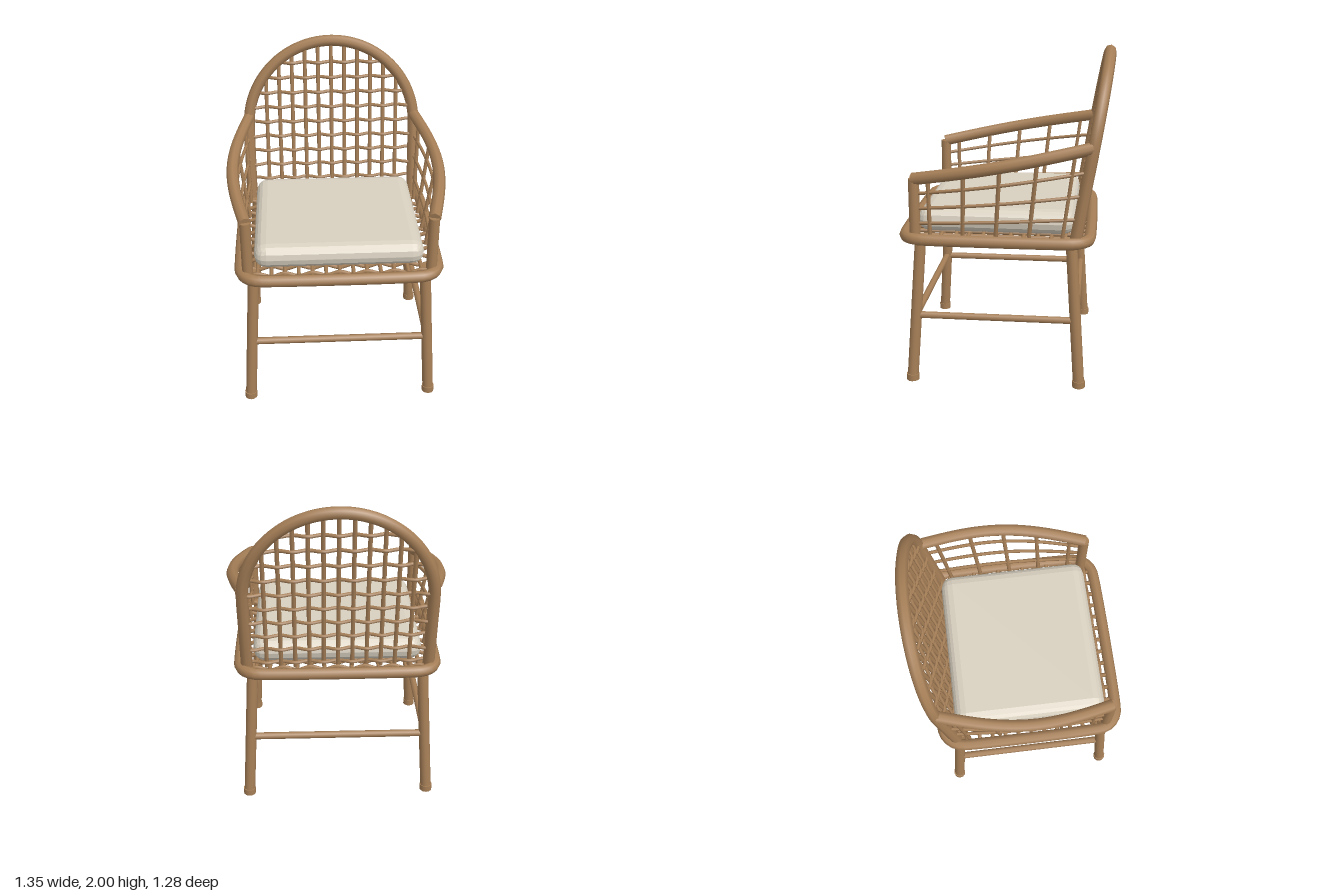
import * as THREE from 'three';
import { mergeGeometries } from 'three/addons/utils/BufferGeometryUtils.js';
import { RoundedBoxGeometry } from 'three/addons/geometries/RoundedBoxGeometry.js';

const V = (x, y, z) => new THREE.Vector3(x, y, z);
const lerp = THREE.MathUtils.lerp;
const range = (n) => Array.from({ length: n }, (_, i) => i);

// Round cane following points, with flat closed ends
function caneGeometry(points, radius, steps, sides = 8) {
  const curve = new THREE.CatmullRomCurve3(points);
  const ends = [0, 1].map((t) => {
    const cap = new THREE.CircleGeometry(radius, sides);
    const p = curve.getPointAt(t);
    const dir = curve.getTangentAt(t).multiplyScalar(t ? 1 : -1);
    cap.applyQuaternion(new THREE.Quaternion().setFromUnitVectors(V(0, 0, 1), dir));
    return cap.translate(p.x, p.y, p.z);
  });
  return mergeGeometries([new THREE.TubeGeometry(curve, steps, radius, sides), ...ends]);
}

export function createModel() {
  const chair = new THREE.Group();
  chair.name = 'wovenArmchair';
  const cane = new THREE.MeshStandardMaterial({ color: 0xa67f57 });
  cane.name = 'cane brown';
  const cloth = new THREE.MeshStandardMaterial({ color: 0xd8d0c0 });
  cloth.name = 'cushion cream';

  const add = (name, geometry, material = cane) => {
    const mesh = new THREE.Mesh(geometry, material);
    mesh.name = name;
    chair.add(mesh);
    return mesh;
  };
  const addCane = (name, points, radius, steps = 1, sides = 8) =>
    add(name, caneGeometry(points, radius, steps, sides));

  // Splayed legs with foot caps
  const legAt = (sx, front, y) => {
    const t = y / 0.9;
    return V(sx * lerp(0.572, 0.518, t), y, front ? lerp(0.562, 0.5, t) : lerp(-0.462, -0.4, t));
  };
  for (const sx of [-1, 1]) {
    for (const front of [true, false]) {
      const label = (front ? 'front' : 'back') + (sx > 0 ? 'Left' : 'Right');
      addCane(label + 'Leg', [legAt(sx, front, 0.012), legAt(sx, front, 0.92)], 0.034, 1, 12);
      const foot = legAt(sx, front, 0.02);
      add(label + 'Foot', new THREE.CylinderGeometry(0.039, 0.039, 0.04, 12)).position.copy(foot);
    }
    // Side stretchers
    addCane('sideStretcher', [legAt(sx, true, 0.42), legAt(sx, false, 0.42)], 0.022);
  }
  for (const front of [true, false]) {
    addCane('crossStretcher', [legAt(-1, front, 0.42), legAt(1, front, 0.42)], 0.022);
  }

  // Seat ring: rounded rectangle of thick cane
  const hx = 0.595, zf = 0.6, zb = -0.505, r = 0.13;
  const ringPoints = [];
  [[hx - r, zf - r], [-hx + r, zf - r], [-hx + r, zb + r], [hx - r, zb + r]].forEach(([cx, cz], corner) => {
    for (const k of range(6)) {
      const a = (corner + k / 5) * Math.PI / 2;
      ringPoints.push(V(cx + r * Math.cos(a), 0.915, cz + r * Math.sin(a)));
    }
  });
  add('seatRing', new THREE.TubeGeometry(new THREE.CatmullRomCurve3(ringPoints, true), 120, 0.036, 8, true));

  // Woven seat
  const gap = 0.082;
  for (const i of range(13)) {
    const x = (i - 6) * gap;
    addCane('seatLengthCane', [V(x, 0.915, -0.49), V(x, 0.915, 0.58)], 0.013, 1, 6);
    const z = 0.54 - i * gap;
    const points = range(29).map((k) => {
      const px = (k - 14) * gap / 2;
      return V(px, 0.915 + 0.012 * Math.cos(Math.PI * (px / gap + i)), z);
    });
    addCane('seatCrossCane', points, 0.012, 56, 6);
  }

  // Seat cushion with faceted soft edges
  const cushion = new RoundedBoxGeometry(1.024, 0.15, 0.945, 2, 0.074);
  cushion.computeVertexNormals();
  add('seatCushion', cushion, cloth).position.set(0, 1.005, 0.052);

  // Leaning back hoop
  const hoopR = 0.55, hoopY = 1.415;
  const leanZ = (y) => -0.43 - (y - 0.95) * 0.167;
  const onBack = (x, y, offset = 0) => V(x, y, leanZ(y) + offset);
  const hoop = [onBack(-hoopR, 0.92), onBack(-hoopR, 1.09), onBack(-hoopR, 1.25)];
  for (const k of range(25)) {
    const a = Math.PI * (1 - k / 24);
    hoop.push(onBack(hoopR * Math.cos(a), hoopY + hoopR * Math.sin(a)));
  }
  hoop.push(onBack(hoopR, 1.25), onBack(hoopR, 1.09), onBack(hoopR, 0.92));
  addCane('backHoop', hoop, 0.036, 90);

  // Woven back: straight uprights with waved cross canes
  const backGap = 0.0857;
  for (const i of range(11)) {
    const x = (i - 5) * backGap;
    const top = hoopY + Math.sqrt(hoopR ** 2 - x * x);
    addCane('backUprightCane', [onBack(x, 0.92), onBack(x, top)], 0.0125, 1, 6);
  }
  for (const j of range(10)) {
    const y = 0.955 + j * 0.0968;
    const half = y < hoopY ? hoopR : Math.sqrt(hoopR ** 2 - (y - hoopY) ** 2);
    const points = range(33).map((k) => {
      const x = half * (k / 16 - 1);
      return onBack(x, y, 0.013 * Math.cos(Math.PI * (x / backGap + j)));
    });
    addCane('backCrossCane', points, 0.0115, 56, 6);
  }

  // Arms: t runs front to back, f runs from the seat up to the rail
  const armPoint = (sx, t, f) => {
    const railX = 0.55 + 0.088 * Math.sin(Math.PI * t);
    return V(
      sx * lerp(0.555, railX, f),
      lerp(0.915, lerp(1.272, 1.475, t), f),
      lerp(lerp(0.52, -0.43, t), lerp(0.53, -0.51, t), f)
    );
  };
  for (const sx of [-1, 1]) {
    const side = sx > 0 ? 'left' : 'right';
    addCane(side + 'ArmPost', [V(sx * 0.55, 0.92, 0.525), V(sx * 0.55, 1.275, 0.525)], 0.033, 1, 12);
    addCane(side + 'ArmRail', range(13).map((k) => armPoint(sx, k / 12, 1)), 0.037, 32);
    for (const t of [0.09, 0.295, 0.5, 0.705, 0.91]) {
      addCane(side + 'ArmUprightCane', [armPoint(sx, t, 0), armPoint(sx, t, 1)], 0.0125, 1, 6);
    }
    for (const f of [0.25, 0.5, 0.75]) {
      addCane(side + 'ArmLengthCane', range(9).map((k) => armPoint(sx, k / 8, f)), 0.0105, 20, 6);
    }
  }
  return chair;
}
